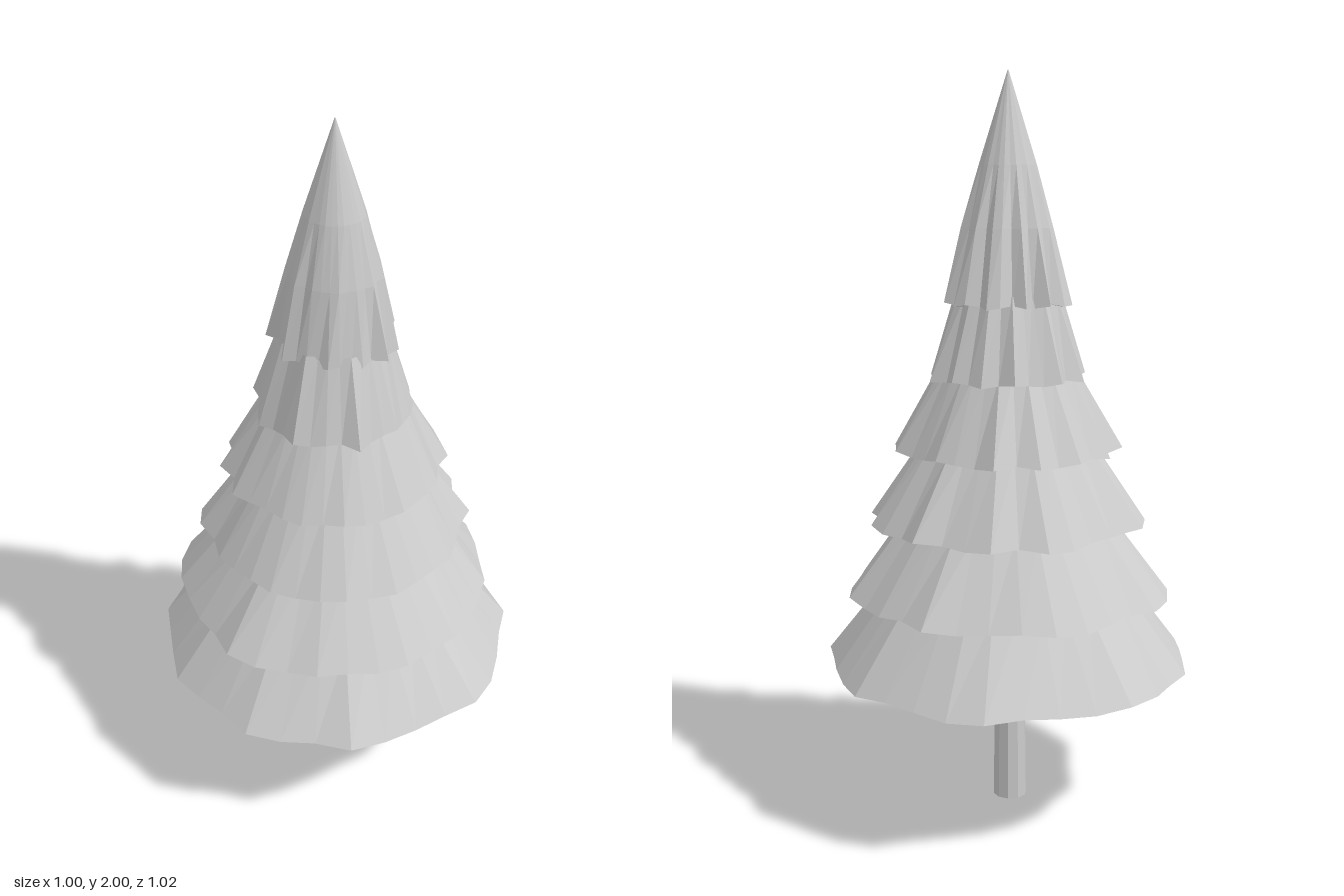
import * as THREE from 'three';

const SIDES = 32;
const clay = new THREE.MeshStandardMaterial({ color: 0xcccccc, flatShading: true });
clay.name = 'pale grey';

// Each ring: height, base radius, and share of the rim's raggedness it keeps.
// Spikes: the rim corners that stick out, counted from +x towards +z.
const tiers = [
  { name: 'lowestSkirt', jag: 0.024, spikes: [0, 3, 4, 8, 11, 14, 17, 19, 20, 24, 25, 28],
    rings: [[0.415, 0.485, 1], [0.63, 0.33, 0.3]] },
  { name: 'secondSkirt', jag: 0.022, spikes: [11, 12, 16, 17, 18, 21, 22, 26, 30],
    rings: [[0.615, 0.424, 1], [0.83, 0.272, 0.3]] },
  { name: 'thirdSkirt', jag: 0.026, spikes: [0, 16, 17, 21, 22, 24, 27, 29, 30],
    rings: [[0.812, 0.349, 1], [1.03, 0.222, 0.3]] },
  { name: 'fourthSkirt', jag: 0.025, spikes: [0, 14, 16, 18, 20, 22, 24, 30, 31],
    rings: [[1.01, 0.282, 1], [1.23, 0.177, 0.3]] },
  { name: 'fifthSkirt', jag: 0.022, spikes: [7, 11, 14, 18, 20, 23, 25, 27, 29],
    rings: [[1.207, 0.203, 1], [1.43, 0.138, 0.4]] },
  { name: 'topCone', jag: 0.027, spikes: [2, 4, 13, 17, 18, 20, 22, 24, 25, 27, 28, 30],
    rings: [[1.402, 0.147, 1], [1.6, 0.113, 0.45], [1.76, 0.076, 0.1], [2, 0.001, 0]] },
];

// A closed skirt: ragged rim, sloping sides, flat underside.
function skirtGeometry({ jag, spikes, rings }) {
  const pos = [], index = [];
  rings.forEach(([y, r, keep], k) => {
    for (let i = 0; i < SIDES; i++) {
      const a = (i / SIDES) * Math.PI * 2;
      const ragged = (spikes.includes(i) ? jag : 0) + 0.005 * Math.sin(i * 2.3 + y * 9);
      const radius = r + ragged * keep;
      const lift = k === 0 ? 0.005 * Math.sin(i * 1.7) : 0;
      const lean = 0.012 * Math.max(0, (y - 1.4) / 0.6);
      pos.push(radius * Math.cos(a), y + lift, radius * Math.sin(a) + lean);
    }
  });
  for (let k = 0; k < rings.length - 1; k++) {
    for (let i = 0; i < SIDES; i++) {
      const a = k * SIDES + i, b = k * SIDES + (i + 1) % SIDES;
      index.push(a, a + SIDES, b, b, a + SIDES, b + SIDES);
    }
  }
  const centre = pos.length / 3;
  pos.push(0, rings[0][0], 0);
  for (let i = 0; i < SIDES; i++) index.push(centre, i, (i + 1) % SIDES);
  const shared = new THREE.BufferGeometry();
  shared.setAttribute('position', new THREE.Float32BufferAttribute(pos, 3));
  shared.setIndex(index);
  const flat = shared.toNonIndexed();
  flat.computeVertexNormals();
  return flat;
}

export function createModel() {
  const tree = new THREE.Group();
  tree.name = 'pineTree';

  // Foliage tiers
  for (const tier of tiers) {
    const skirt = new THREE.Mesh(skirtGeometry(tier), clay);
    skirt.name = tier.name;
    tree.add(skirt);
  }

  // Trunk
  const trunk = new THREE.Mesh(new THREE.CylinderGeometry(0.041, 0.047, 0.43, 10), clay);
  trunk.name = 'trunk';
  trunk.position.set(-0.008, 0.215, -0.005);
  tree.add(trunk);

  return tree;
}
